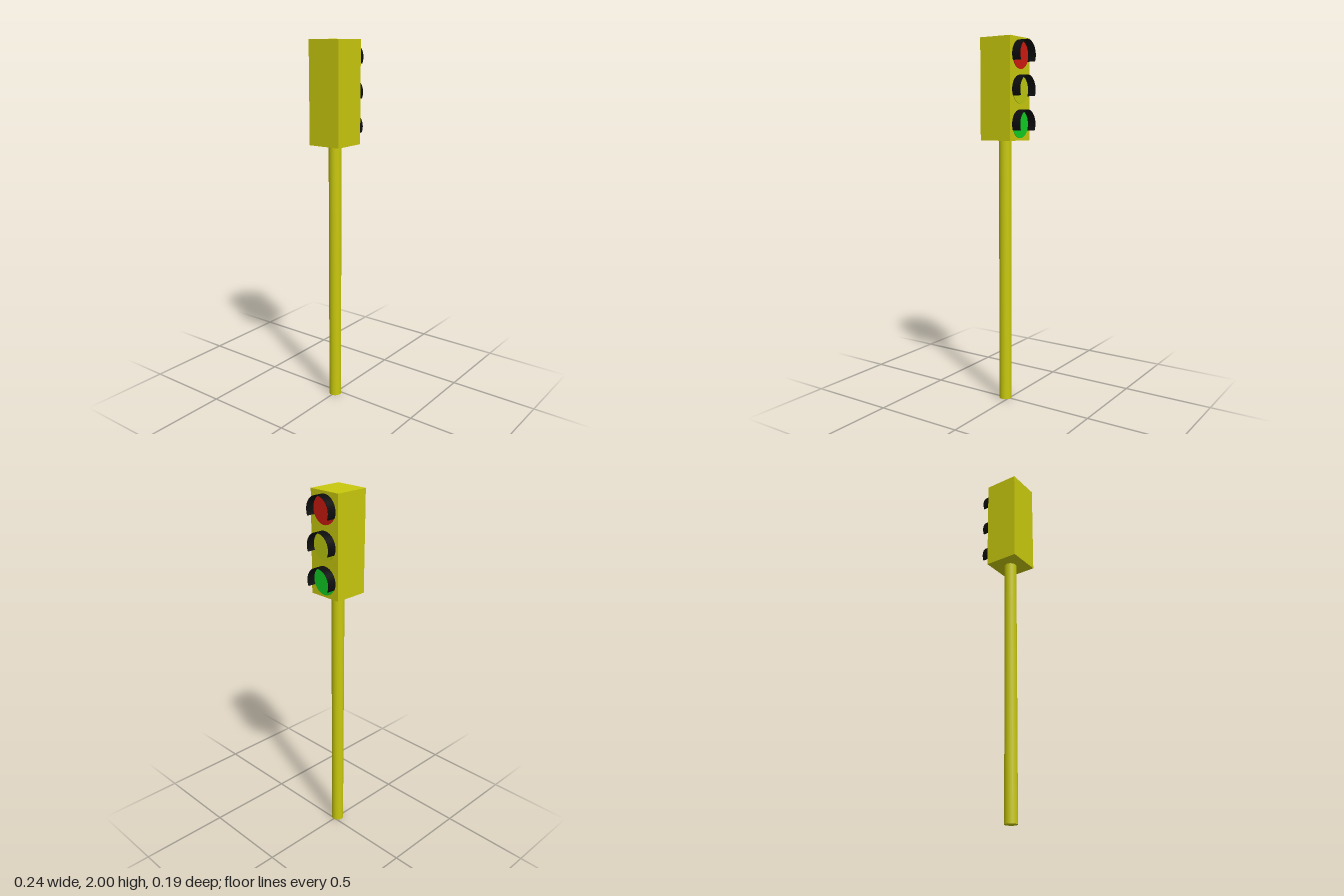
import * as THREE from 'three';

const paint = (color) => new THREE.MeshStandardMaterial({ color });

function addPart(parent, name, geometry, material, x, y, z = 0) {
  const mesh = new THREE.Mesh(geometry, material);
  mesh.name = name;
  mesh.position.set(x, y, z);
  parent.add(mesh);
  return mesh;
}

// Thin curved hood, open at the bottom, reaching out along +x
function visorGeometry(outer, inner, depth, droop) {
  const shape = new THREE.Shape();
  shape.absarc(0, 0, outer, -droop, Math.PI + droop, false);
  shape.absarc(0, 0, inner, Math.PI + droop, -droop, true);
  shape.closePath();
  const geometry = new THREE.ExtrudeGeometry(shape, { depth, bevelEnabled: false, curveSegments: 32 });
  return geometry.rotateY(Math.PI / 2);
}

export function createModel() {
  const model = new THREE.Group();
  model.name = 'trafficLight';

  const yellow = paint(0xc8c80e);
  const black = paint(0x0d0d0d);
  const axisX = -0.025;
  const faceX = 0.07;

  // Pole and signal housing
  addPart(model, 'pole', new THREE.CylinderGeometry(0.034, 0.034, 1.46, 32), yellow, axisX, 0.73);
  addPart(model, 'housing', new THREE.BoxGeometry(0.19, 0.54, 0.19), yellow, axisX, 1.73);

  // Three lamps, each a lens disc under a black visor
  const lens = new THREE.CylinderGeometry(0.0745, 0.0745, 0.006, 40).rotateZ(-Math.PI / 2);
  const visor = visorGeometry(0.077, 0.0745, 0.049, 0.44);
  const lamps = [['red', 0xcc1a10, 1.909], ['amber', 0xbcc80f, 1.728], ['green', 0x10cc22, 1.547]];
  for (const [name, color, y] of lamps) {
    const lamp = new THREE.Group();
    lamp.name = `${name}Lamp`;
    lamp.position.set(faceX, y, 0);
    addPart(lamp, `${name}Lens`, lens, paint(color), 0, 0);
    addPart(lamp, `${name}Visor`, visor, black, 0, 0);
    model.add(lamp);
  }

  return model;
}
